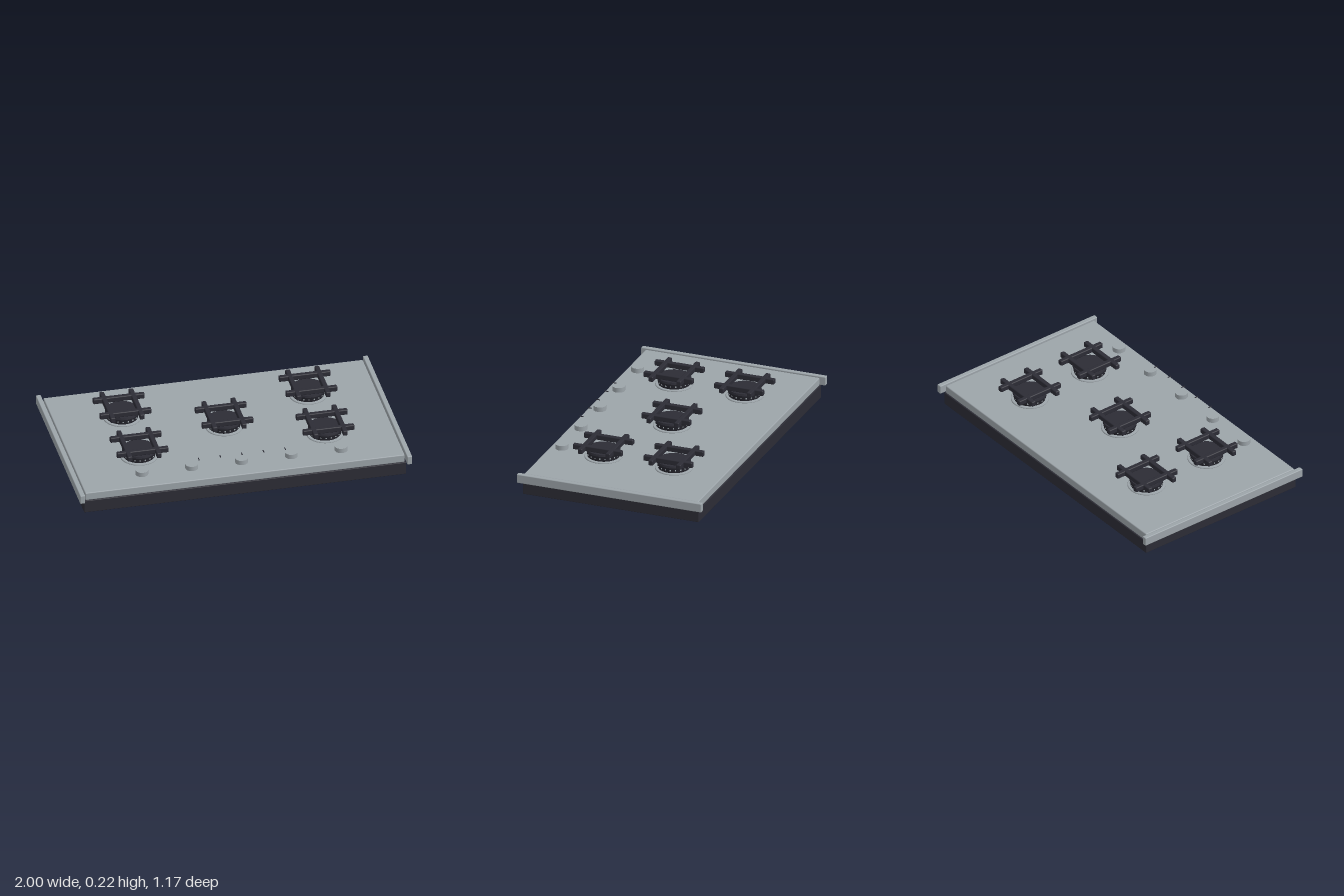
import * as THREE from 'three';
import { RoundedBoxGeometry } from 'three/addons/geometries/RoundedBoxGeometry.js';

function material(name, color) {
  const m = new THREE.MeshStandardMaterial({ color });
  m.name = name;
  return m;
}

export function createModel() {
  const steel = material('brushed steel', 0x9ca4a9);
  const iron = material('cast iron', 0x2c2c35);
  const enamel = material('dark enamel', 0x25252d);

  const model = new THREE.Group();
  model.name = 'cooktop';

  function add(parent, name, geometry, mat, x = 0, y = 0, z = 0) {
    const mesh = new THREE.Mesh(geometry, mat);
    mesh.name = name;
    mesh.position.set(x, y, z);
    parent.add(mesh);
    return mesh;
  }

  // Body, top plate and side rails
  add(model, 'body', new RoundedBoxGeometry(1.94, 0.08, 1.112, 2, 0.004), iron, 0, 0.04, 0);
  add(model, 'topPlate', new RoundedBoxGeometry(1.924, 0.05, 1.1, 2, 0.006), steel, 0, 0.104, 0);
  const railGeometry = new RoundedBoxGeometry(0.03, 0.055, 1.166, 2, 0.005);
  for (const side of [-1, 1]) {
    add(model, side < 0 ? 'rightRail' : 'leftRail', railGeometry, steel, side * 0.985, 0.106, 0);
  }

  // Shared burner geometry
  const ringProfile = [[0.085, 0.125], [0.112, 0.125], [0.112, 0.133], [0.108, 0.136], [0.085, 0.136]];
  const ringGeometry = new THREE.LatheGeometry(ringProfile.map(p => new THREE.Vector2(...p)), 48);
  const headGeometry = new THREE.CylinderGeometry(0.1, 0.094, 0.038, 48);
  const capGeometry = new THREE.CylinderGeometry(0.098, 0.101, 0.012, 48);
  const portGeometry = new THREE.BoxGeometry(0.007, 0.007, 0.008);
  const barGeometry = new RoundedBoxGeometry(0.31, 0.033, 0.029, 2, 0.006);

  function addBurner(x, z) {
    const burner = new THREE.Group();
    burner.name = 'burner';
    burner.position.set(x, 0, z);
    model.add(burner);
    add(burner, 'trimRing', ringGeometry, steel);
    add(burner, 'burnerHead', headGeometry, enamel, 0, 0.152, 0);
    add(burner, 'burnerCap', capGeometry, iron, 0, 0.175, 0);

    // Gas ports around the head
    const ports = 20;
    for (let i = 0; i < ports; i++) {
      const a = (i + 0.5) / ports * Math.PI * 2;
      const port = add(burner, 'gasPort', portGeometry, steel, Math.sin(a) * 0.096, 0.153, Math.cos(a) * 0.096);
      port.rotation.y = a;
    }

    // Two crossed pairs of grate bars
    for (const offset of [-0.088, 0.088]) {
      add(burner, 'grateBar', barGeometry, iron, 0, 0.208, offset);
      add(burner, 'grateBar', barGeometry, iron, offset, 0.208, 0).rotation.y = Math.PI / 2;
    }
  }
  addBurner(0, 0);
  for (const x of [-0.56, 0.56]) {
    addBurner(x, 0.209);
    addBurner(x, -0.236);
  }

  // Control knobs and their small marks
  const knobGeometry = new THREE.CylinderGeometry(0.038, 0.038, 0.029, 32);
  const markGeometry = new THREE.BoxGeometry(0.005, 0.004, 0.024);
  for (let i = -2; i <= 2; i++) {
    add(model, 'knob', knobGeometry, steel, i * 0.3, 0.172, 0.456);
    add(model, 'knobMark', markGeometry, iron, i * 0.13, 0.219, 0.467);
  }

  return model;
}
